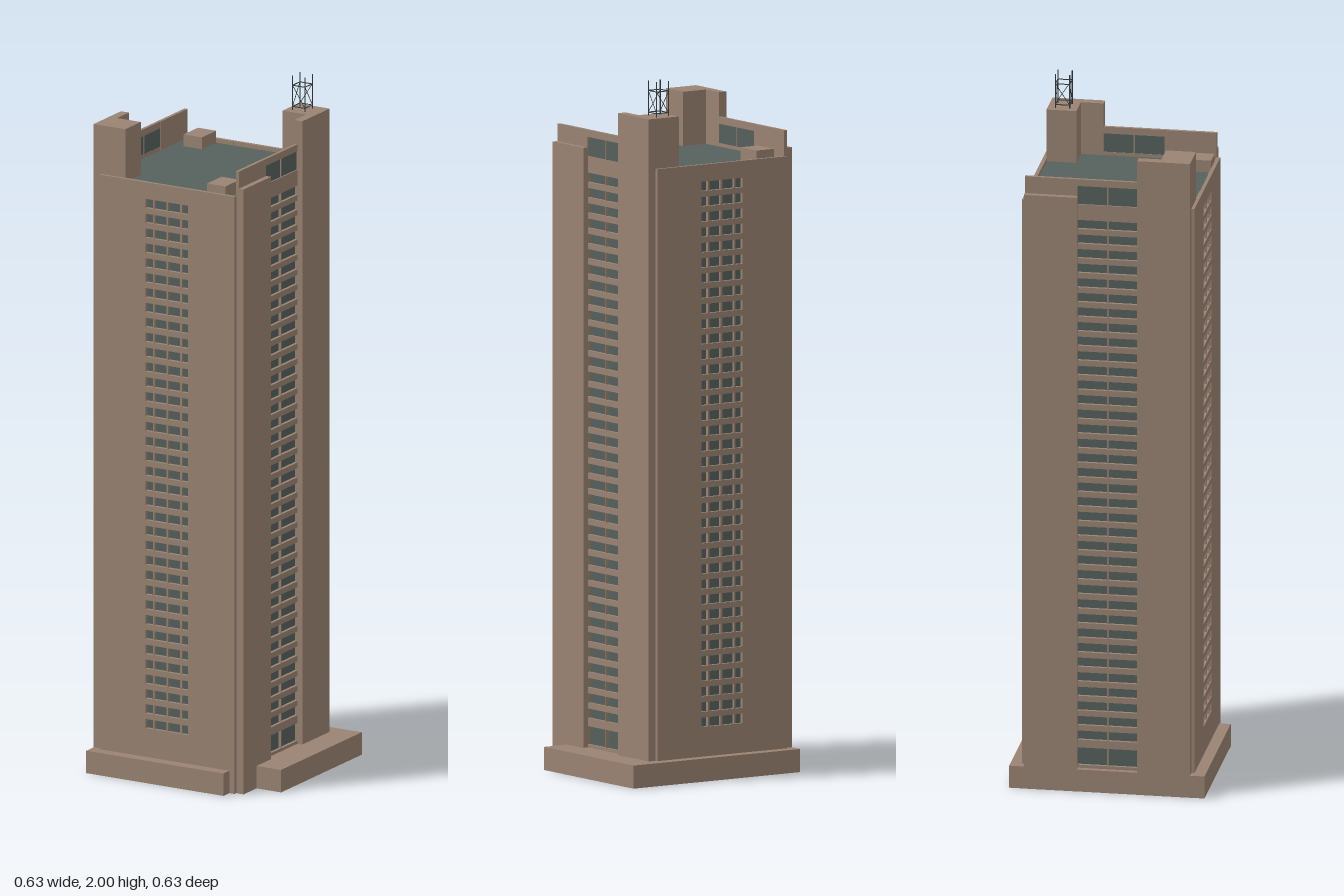
import * as THREE from 'three';
import { mergeGeometries } from 'three/addons/utils/BufferGeometryUtils.js';

const stone = new THREE.MeshStandardMaterial({ color: 0x9a8373 });
stone.name = 'brownStone';
const glass = new THREE.MeshStandardMaterial({ color: 0x56605d });
glass.name = 'greyGlass';
const steel = new THREE.MeshStandardMaterial({ color: 0x343c3e });
steel.name = 'darkSteel';

// One mesh from boxes given as [x0, x1, y0, y1, z0, z1]
function boxes(name, material, list) {
  const parts = list.map(([x0, x1, y0, y1, z0, z1]) =>
    new THREE.BoxGeometry(x1 - x0, y1 - y0, z1 - z0)
      .translate((x0 + x1) / 2, (y0 + y1) / 2, (z0 + z1) / 2));
  const mesh = new THREE.Mesh(mergeGeometries(parts), material);
  mesh.name = name;
  return mesh;
}

// Spandrels between window rows plus upright mullions, in front of the glass core
function windowGrid(name, halfWidth, depth, rows, mullions, top) {
  const list = [];
  let y = 0;
  for (const [low, high] of rows) {
    list.push([-halfWidth, halfWidth, y, low, 0, depth]);
    y = high;
  }
  list.push([-halfWidth, halfWidth, y, top, 0, depth]);
  for (const [x, w] of mullions) {
    list.push([x - w / 2, x + w / 2, rows[0][0], y, 0, depth * 0.8]);
  }
  return boxes(name, stone, list);
}

const FLOORS = 36;
const floorRows = Array.from({ length: FLOORS }, (_, i) => {
  const y = 0.164 + i * 0.04374;
  return [y - 0.0135, y + 0.0135];
});

// Front facade, right side bay and the corner shafts; the other half is the same turned round
function buildHalf(name) {
  const half = new THREE.Group();
  half.name = name;

  // Broad facade with a central strip of windows
  const strip = windowGrid('facadeWindows', 0.07, 0.01, floorRows,
    [[-0.045, 0.005], [0, 0.006], [0.045, 0.005]], 1.757);
  strip.position.z = 0.237;
  half.add(strip, boxes('facadeSlab', stone, [
    [-0.2225, -0.07, 0, 1.757, 0.236, 0.247],
    [0.07, 0.2225, 0, 1.757, 0.236, 0.247],
  ]));

  // Side bay with tall windows at the foot and above the roof
  const bayRows = [[0.075, 0.127], ...floorRows, [1.755, 1.81]];
  const bay = windowGrid('sideBay', 0.087, 0.009, bayRows, [[0, 0.004]], 1.83);
  bay.rotation.y = Math.PI / 2;
  bay.position.x = 0.2215;
  half.add(bay, boxes('parapetGlass', glass, [[0.2225, 0.2265, 1.74, 1.815, -0.087, 0.087]]));

  // Side wall, its outer wing and the small roof block
  half.add(
    boxes('sideWall', stone, [[0.2205, 0.2305, 0, 1.83, 0.087, 0.237]]),
    boxes('sideWing', stone, [[0.23, 0.2465, 0, 1.78, 0.086, 0.238]]),
    boxes('roofBlock', stone, [[0.126, 0.186, 1.73, 1.78, 0.157, 0.2365]]),
  );

  // Tall L-shaped corner shaft
  const shaft = new THREE.Shape([
    [0.1425, 0.238], [0.1425, 0.152], [0.2205, 0.152],
    [0.2205, 0.087], [0.2465, 0.087], [0.2465, 0.238],
  ].map(([x, y]) => new THREE.Vector2(x, y)));
  const tall = new THREE.Mesh(
    new THREE.ExtrudeGeometry(shaft, { depth: 1.9, bevelEnabled: false }).rotateX(-Math.PI / 2), stone);
  tall.name = 'cornerShaft';
  half.add(tall);
  return half;
}

// Thin rod between two points
function rod(a, b, r) {
  const dir = b.clone().sub(a);
  const q = new THREE.Quaternion().setFromUnitVectors(new THREE.Vector3(0, 1, 0), dir.clone().normalize());
  return new THREE.CylinderGeometry(r, r, dir.length(), 5)
    .applyQuaternion(q).translate(...a.clone().add(b).multiplyScalar(0.5).toArray());
}

// Open lattice mast with four posts
function buildMast() {
  const s = 0.0205;
  const corners = [[-s, -s], [s, -s], [s, s], [-s, s]];
  const at = (i, y) => new THREE.Vector3(corners[i % 4][0], y, corners[i % 4][1]);
  const rods = [];
  for (let i = 0; i < 4; i++) {
    rods.push(rod(at(i, 0), at(i, 0.1), 0.0018));
    for (const y of [0.01, 0.072]) rods.push(rod(at(i, y), at(i + 1, y), 0.0015));
    rods.push(rod(at(i, 0.01), at(i + 1, 0.072), 0.001));
  }
  const mast = new THREE.Mesh(mergeGeometries(rods), steel);
  mast.name = 'mast';
  return mast;
}

export function createModel() {
  const model = new THREE.Group();
  model.name = 'officeTower';
  const tower = new THREE.Group();
  tower.name = 'tower';
  tower.rotation.y = 0.14;
  tower.position.set(-0.0322, 0, 0.0046);
  model.add(tower);

  // Stepped plinth
  tower.add(boxes('plinth', stone, [
    [-0.246, 0.327, 0, 0.066, -0.28, 0.166],
    [-0.246, 0.2055, 0, 0.066, 0.166, 0.28],
  ]));

  // Glass core, whose top is the roof
  tower.add(boxes('glassCore', glass, [[-0.2215, 0.2215, 0.01, 1.745, -0.237, 0.237]]));

  const front = buildHalf('frontHalf');
  const back = buildHalf('backHalf');
  back.rotation.y = Math.PI;
  tower.add(front, back);

  const mast = buildMast();
  mast.position.set(0.1825, 1.9, -0.195);
  tower.add(mast);
  return model;
}
